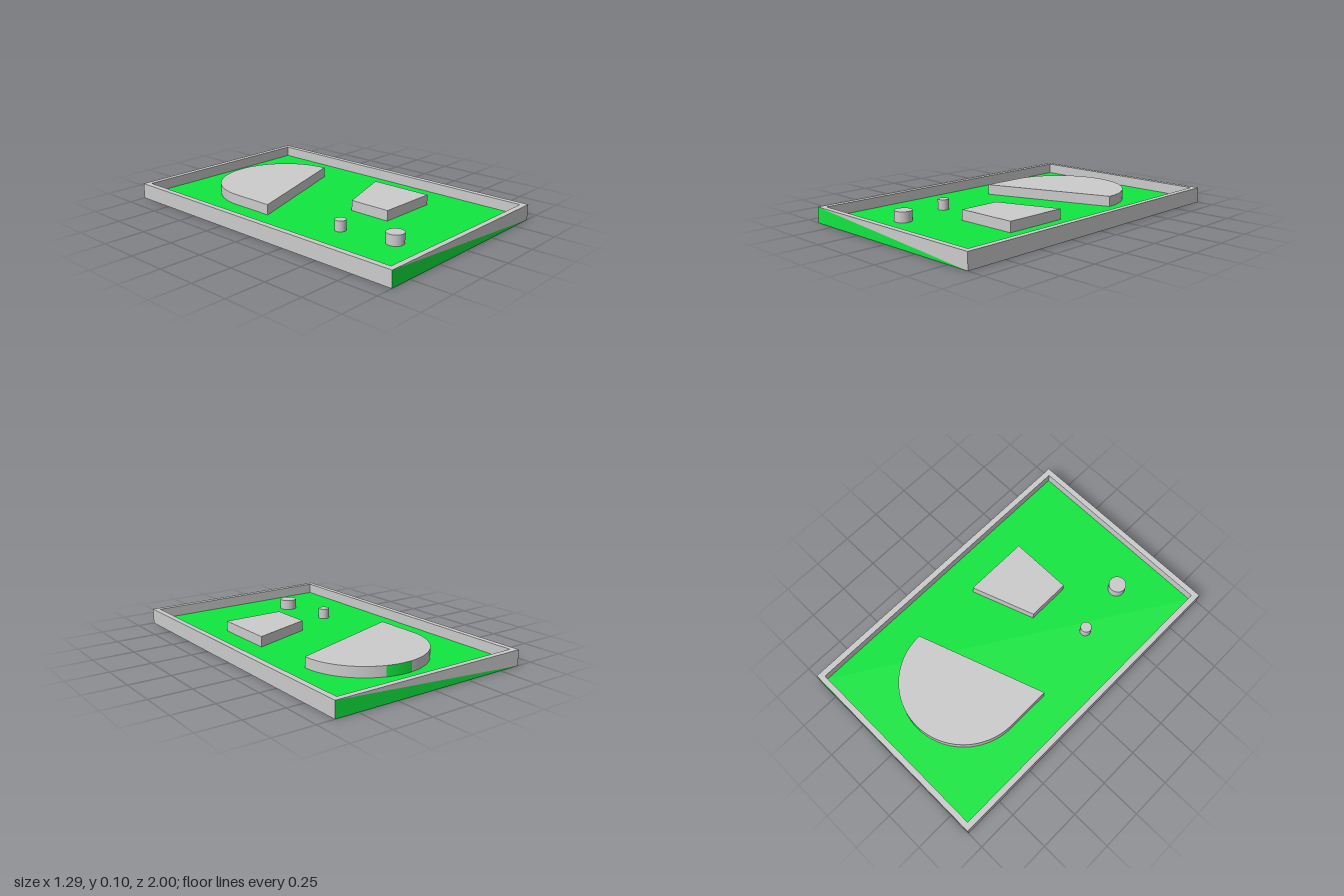
import * as THREE from 'three';
import { toCreasedNormals } from 'three/addons/utils/BufferGeometryUtils.js';

const GREY = new THREE.MeshStandardMaterial({ color: 0xcccccc });
const GREEN = new THREE.MeshStandardMaterial({ color: 0x10e840 });

const W = 0.643, L = 1, H = 0.096; // outer half width, half length, height
const IW = 0.607, IL = 0.965, FLOOR = 0.032; // inner recess

// Flat convex faces, corners counter-clockwise from outside
function faces(name, material, polygons) {
  const pos = [];
  for (const p of polygons) {
    for (let i = 1; i < p.length - 1; i++) pos.push(...p[0], ...p[i], ...p[i + 1]);
  }
  const g = new THREE.BufferGeometry();
  g.setAttribute('position', new THREE.Float32BufferAttribute(pos, 3));
  g.computeVertexNormals();
  const m = new THREE.Mesh(g, material);
  m.name = name;
  return m;
}

// Raised island standing on the tray floor, outline drawn in (x, -z)
function island(name, shape) {
  let g = new THREE.ExtrudeGeometry(shape, { depth: H - FLOOR, bevelEnabled: false, curveSegments: 48 });
  g.rotateX(-Math.PI / 2);
  g.translate(0, FLOOR, 0);
  g = toCreasedNormals(g, 0.5);
  const m = new THREE.Mesh(g, GREY);
  m.name = name;
  return m;
}

function peg(name, x, z, r) {
  const m = new THREE.Mesh(new THREE.CylinderGeometry(r, r, H - FLOOR, 32), GREY);
  m.position.set(x, (H + FLOOR) / 2, z);
  m.name = name;
  return m;
}

export function createModel() {
  const model = new THREE.Group();
  model.name = 'tray';

  // Tray shell: each pass makes one end and one side, the second turned half round
  const shell = [], endPanels = [];
  for (const s of [1, -1]) {
    const p = (x, y, z) => [s * x, y, s * z];
    // Outer long side
    shell.push([p(W, 0, L), p(W, 0, -L), p(W, H, -L), p(W, H, L)]);
    // Outer end, split along its diagonal
    endPanels.push([p(-W, 0, L), p(W, 0, L), p(-W, H, L)]);
    shell.push([p(W, 0, L), p(W, H, L), p(-W, H, L)]);
    // Rim top
    shell.push([p(-W, H, L), p(W, H, L), p(IW, H, IL), p(-IW, H, IL)]);
    shell.push([p(W, H, L), p(W, H, -L), p(IW, H, -IL), p(IW, H, IL)]);
    // Inner walls
    shell.push([p(IW, FLOOR, IL), p(-IW, FLOOR, IL), p(-IW, H, IL), p(IW, H, IL)]);
    shell.push([p(IW, FLOOR, -IL), p(IW, FLOOR, IL), p(IW, H, IL), p(IW, H, -IL)]);
  }
  // Underside
  shell.push([[-W, 0, -L], [W, 0, -L], [W, 0, L], [-W, 0, L]]);
  model.add(faces('trayShell', GREY, shell));
  model.add(faces('endPanels', GREEN, endPanels));
  model.add(faces('floor', GREEN, [
    [[-IW, FLOOR, IL], [IW, FLOOR, IL], [IW, FLOOR, -IL], [-IW, FLOOR, -IL]],
  ]));

  // Round-backed island with a slanted front
  const R = 0.393, CZ = -0.397;
  const dome = new THREE.Shape();
  dome.moveTo(-R, 0.122);
  dome.lineTo(R, -CZ);
  dome.absarc(0, -CZ, R, 0, Math.PI, false);
  dome.closePath();
  model.add(island('roundIsland', dome));

  // Coloured strip on the curved wall
  const strip = new THREE.Mesh(
    new THREE.CylinderGeometry(R + 0.001, R + 0.001, H - FLOOR, 8, 1, true,
      THREE.MathUtils.degToRad(161), THREE.MathUtils.degToRad(24)), GREEN);
  strip.position.set(0, (H + FLOOR) / 2, CZ);
  strip.name = 'curvedWallStrip';
  model.add(strip);

  // Four-sided island with a slanted back
  const block = new THREE.Shape([[0, -0.46], [0.39, -0.46], [0.39, -0.053], [0, -0.19]]
    .map(([x, y]) => new THREE.Vector2(x, y)));
  model.add(island('slantedIsland', block));

  // Round pegs
  model.add(peg('smallPeg', -0.287, 0.355, 0.034));
  model.add(peg('largePeg', -0.233, 0.7, 0.053));
  return model;
}
